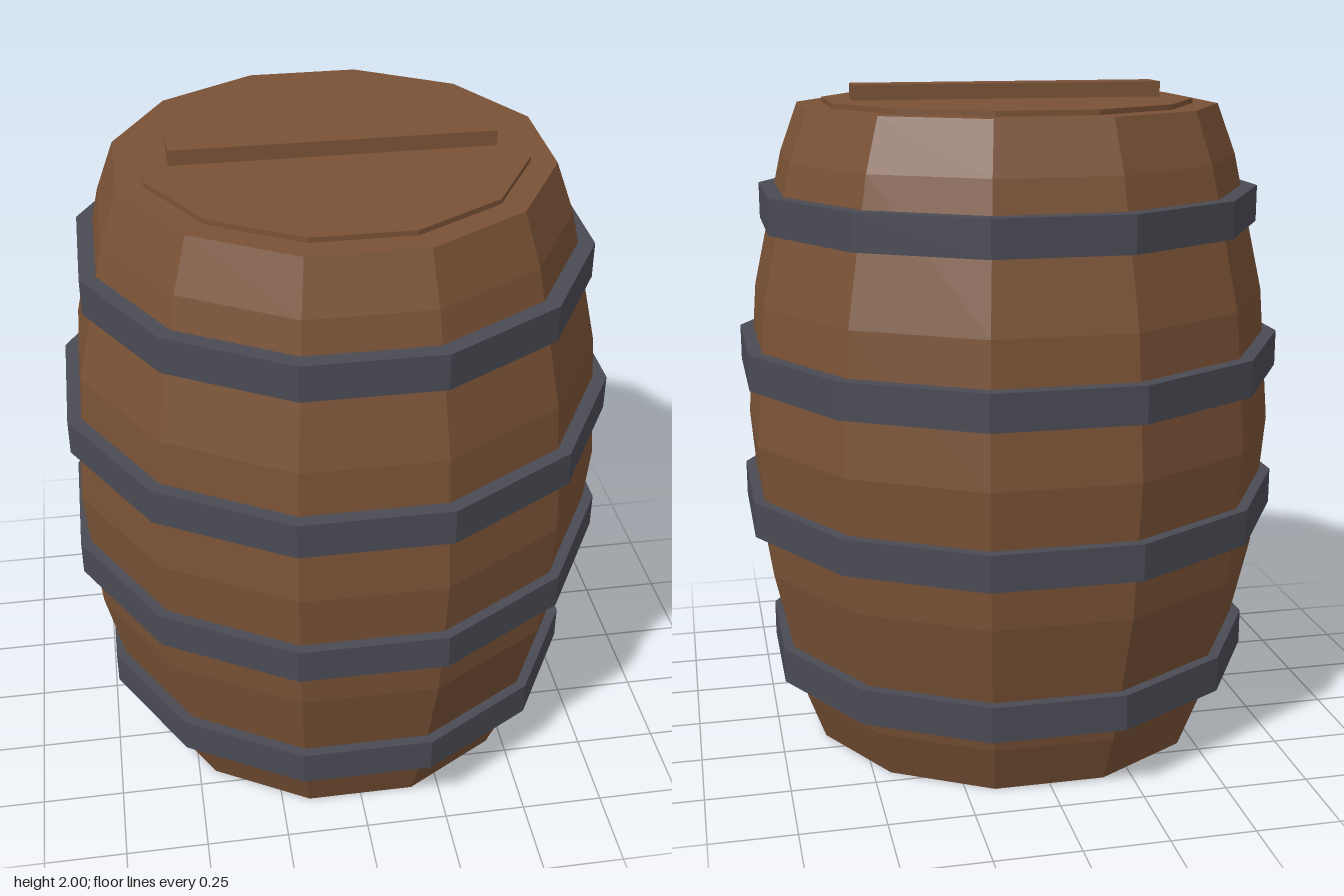
import * as THREE from 'three';

const SIDES = 12;
const CORNER = 1 / Math.cos(Math.PI / SIDES); // flat-to-flat radius -> corner radius

function facet(geometry) {
  const flat = geometry.index ? geometry.toNonIndexed() : geometry;
  flat.computeVertexNormals();
  return flat;
}

// Twelve-sided turned shape with flats facing the axes; profile runs bottom to top as [flatRadius, y]
function turned(profile) {
  const points = profile.map(([r, y]) => new THREE.Vector2(r * CORNER, y));
  return facet(new THREE.LatheGeometry(points, SIDES, Math.PI / SIDES));
}

export function createModel() {
  const group = new THREE.Group();
  const wood = new THREE.MeshStandardMaterial({ color: 0x7a5236 });
  wood.name = 'brown wood';
  const iron = new THREE.MeshStandardMaterial({ color: 0x4a4a54 });
  iron.name = 'dark iron';

  const add = (name, geometry, material) => {
    const mesh = new THREE.Mesh(geometry, material);
    mesh.name = name;
    group.add(mesh);
    return mesh;
  };

  // Bulging staves with closed ends
  add('barrelBody', turned([
    [0, 0], [0.613, 0], [0.667, 0.15], [0.757, 0.56], [0.79, 0.97],
    [0.757, 1.38], [0.667, 1.79], [0.613, 1.94], [0, 1.94],
  ]), wood);

  // Four iron hoops, mirrored about the middle
  const hoops = [
    ['bottomHoop', 0.735, 0.21],
    ['lowerMiddleHoop', 0.808, 0.692],
    ['upperMiddleHoop', 0.808, 1.14],
    ['topHoop', 0.735, 1.588],
  ];
  const height = 0.108;
  for (const [name, r, y] of hoops) {
    const inner = r - 0.08;
    add(name, turned([
      [inner, y], [r, y], [r, y + height], [inner, y + height], [inner, y],
    ]), iron);
  }

  // Raised lid and its grip bar
  add('lid', turned([[0.54, 1.93], [0.54, 1.955], [0, 1.955]]), wood);
  const bar = add('lidBar', new THREE.BoxGeometry(0.93, 0.05, 0.112), wood);
  bar.position.y = 1.975;

  return group;
}
